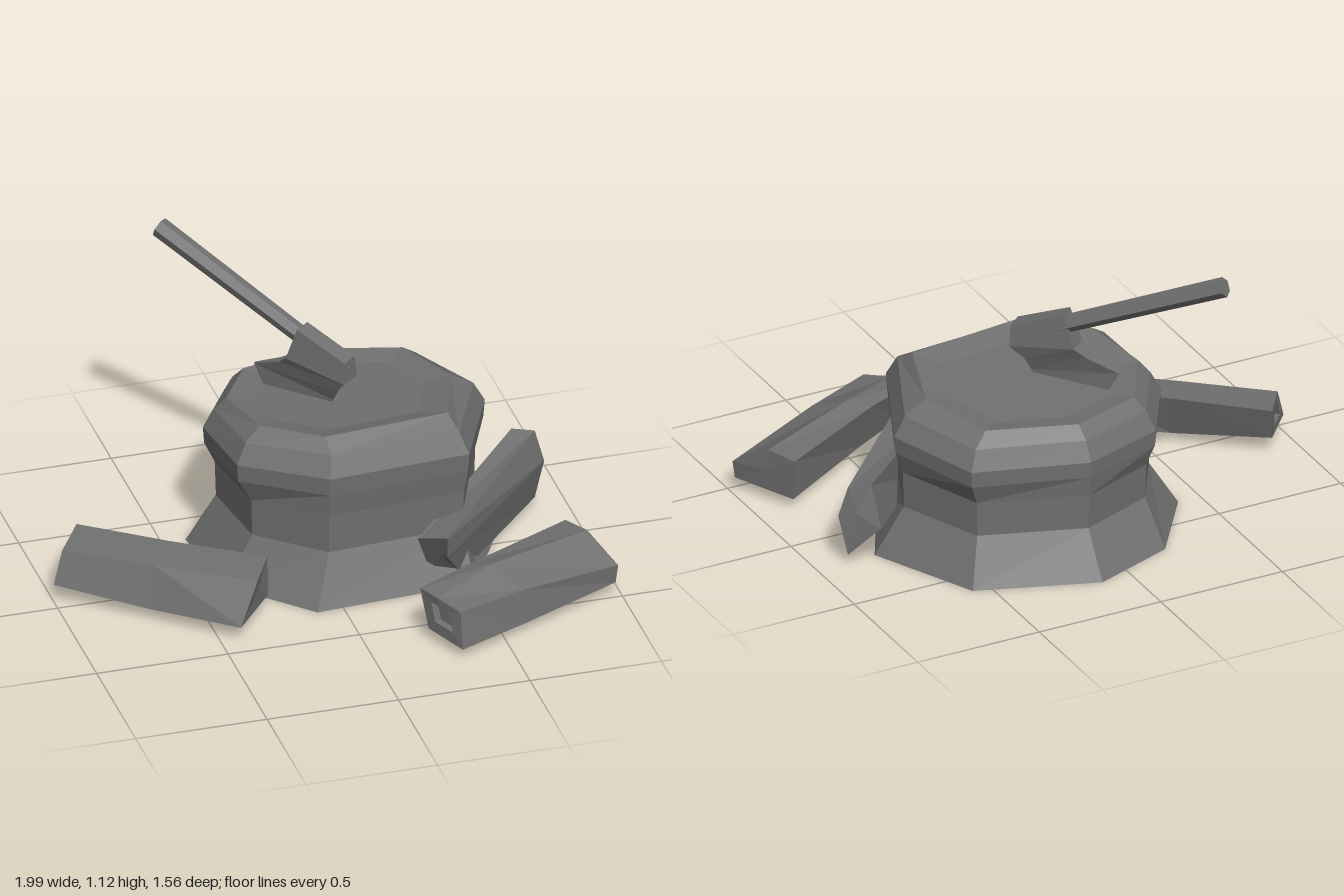
import * as THREE from 'three';

const stone = new THREE.MeshStandardMaterial({ color: 0x707070 });
stone.name = 'grey';

// Skin a list of equal-length point rings, cap both ends and give flat facets.
function loft(rings) {
  const n = rings[0].length;
  const tris = [];
  for (let r = 0; r < rings.length - 1; r++) {
    for (let i = 0; i < n; i++) {
      const j = (i + 1) % n;
      const [a, b, c, d] = [rings[r][i], rings[r][j], rings[r + 1][j], rings[r + 1][i]];
      tris.push([a, b, c], [a, c, d]);
    }
  }
  const first = rings[0], last = rings[rings.length - 1];
  const cFirst = centre(first), cLast = centre(last);
  for (let i = 0; i < n; i++) {
    const j = (i + 1) % n;
    tris.push([cFirst, first[j], first[i]], [cLast, last[i], last[j]]);
  }
  // turn the faces outward when the rings run the other way
  let volume = 0;
  for (const [a, b, c] of tris) {
    volume += new THREE.Vector3(...a).dot(new THREE.Vector3(...b).cross(new THREE.Vector3(...c)));
  }
  if (volume < 0) tris.forEach((t) => t.reverse());
  const geo = new THREE.BufferGeometry();
  geo.setAttribute('position', new THREE.Float32BufferAttribute(tris.flat(2), 3));
  geo.computeVertexNormals();
  return geo;
}

function centre(ring) {
  return [0, 1, 2].map((k) => ring.reduce((s, p) => s + p[k], 0) / ring.length);
}

const mix = (p, q, t) => p.map((v, k) => v + (q[k] - v) * t);

function part(name, geo) {
  const mesh = new THREE.Mesh(geo, stone);
  mesh.name = name;
  return mesh;
}

// Stump: eight-sided rings, tilting slightly down towards the back
function makeStump() {
  const ring = (h, pts) => pts.map(([x, z]) => [x, h + 0.12 * h * (z - 0.1), z]);
  const base = [[0.12, -0.77], [-0.2, -0.65], [-0.41, -0.35], [-0.37, 0.02],
    [-0.1, 0.3], [0.51, 0.26], [0.76, -0.2], [0.57, -0.61]];
  const waist = [[0.12, -0.66], [-0.17, -0.55], [-0.3, -0.33], [-0.26, 0],
    [-0.03, 0.21], [0.49, 0.17], [0.65, -0.22], [0.51, -0.53]];
  const bulge = [[0.12, -0.68], [-0.2, -0.58], [-0.35, -0.33], [-0.32, 0.01],
    [-0.03, 0.23], [0.51, 0.19], [0.69, -0.22], [0.55, -0.56]];
  const rim = [[0.13, -0.6], [-0.14, -0.52], [-0.27, -0.3], [-0.22, -0.04],
    [-0.02, 0.13], [0.46, 0.08], [0.56, -0.22], [0.46, -0.5]];
  const scale = (pts, s) => pts.map(([x, z]) => [0.15 + (x - 0.15) * s, -0.24 + (z + 0.24) * s]);
  return part('stump', loft([
    ring(0, base),
    ring(0.19, waist),
    ring(0.34, scale(waist, 1.01)),
    ring(0.43, scale(bulge, 0.99)),
    ring(0.5, bulge),
    ring(0.58, scale(bulge, 0.92)),
    ring(0.63, rim),
    ring(0.61, scale(rim, 0.75)),
  ]));
}

// Split log through its rings; a hollow pit can be sunk into the first end
function makeLog(name, rings, pit) {
  if (!pit) return part(name, loft(rings));
  const end = rings[0], far = rings[rings.length - 1];
  const c = centre(end), inward = mix(c, centre(far), 0.04);
  const lip = end.map((p) => mix(p, c, 0.5));
  const deep = lip.map((p) => p.map((v, k) => v + inward[k] - c[k]));
  return part(name, loft([deep, lip, ...rings]));
}

// Axe: handle driven through the head, blade sunk in the stump top
function makeAxe() {
  const axe = new THREE.Group();
  axe.name = 'axe';
  const tail = new THREE.Vector3(-0.39, 1.09, -0.755);
  const tip = new THREE.Vector3(0.15, 0.73, -0.14);
  const dir = tip.clone().sub(tail);
  const shaft = new THREE.CylinderGeometry(0.032, 0.038, dir.length(), 6).toNonIndexed();
  shaft.computeVertexNormals();
  const handle = part('handle', shaft);
  handle.position.copy(tail).lerp(tip, 0.5);
  handle.quaternion.setFromUnitVectors(new THREE.Vector3(0, 1, 0), dir.normalize());

  // head sections from poll to edge: rear point, front point, half thickness
  const sections = [
    [-0.085, 0.865, 0.12, 0.785, 0.035],
    [-0.13, 0.735, 0.125, 0.7, 0.042],
    [-0.17, 0.7, 0.07, 0.65, 0.025],
    [-0.29, 0.65, 0.05, 0.6, 0.006],
    [-0.25, 0.57, 0.03, 0.57, 0.003],
  ];
  const head = part('axeHead', loft(sections.map(([u0, y0, u1, y1, w]) =>
    [[u0, y0, -w], [u1, y1, -w], [u1, y1, w], [u0, y0, w]])));
  head.position.set(0.07, 0, -0.22);
  head.rotation.y = -0.856;
  axe.add(handle, head);
  return axe;
}

export function createModel() {
  const model = new THREE.Group();
  model.name = 'choppingBlock';
  model.add(makeStump(), makeAxe());

  model.add(makeLog('rightLog', [
    [[-0.86, 0.205, -0.23], [-0.96, 0.19, -0.08], [-1, 0.07, -0.05], [-0.88, 0.07, -0.19]],
    [[-0.58, 0.215, 0], [-0.67, 0.2, 0.14], [-0.7, 0.05, 0.19], [-0.6, 0.04, 0.06]],
    [[-0.27, 0.225, 0.23], [-0.35, 0.21, 0.37], [-0.43, 0.06, 0.43], [-0.27, 0.07, 0.24]],
  ], true));

  model.add(makeLog('frontLog', [
    [[0.21, 0.2, 0.57], [0.25, 0.2, 0.66], [0.31, 0.18, 0.75], [0.31, 0.04, 0.78], [0.23, 0.05, 0.61]],
    [[0.42, 0.21, 0.47], [0.5, 0.23, 0.52], [0.58, 0.17, 0.64], [0.58, 0.04, 0.66], [0.45, 0.04, 0.5]],
    [[0.86, 0.2, 0.24], [0.91, 0.21, 0.35], [0.99, 0.12, 0.48], [0.98, 0.05, 0.48], [0.86, 0.04, 0.25]],
  ], true));

  model.add(makeLog('leaningLog', [
    [[0.29, 0.23, 0.27], [0.38, 0.26, 0.35], [0.38, 0.18, 0.35], [0.47, 0.03, 0.22], [0.36, 0.04, 0.2]],
    [[0.8, 0.325, -0.25], [0.88, 0.32, -0.22], [0.91, 0.2, -0.2], [0.88, 0.04, -0.22], [0.79, 0.17, -0.31]],
  ], false));
  return model;
}
